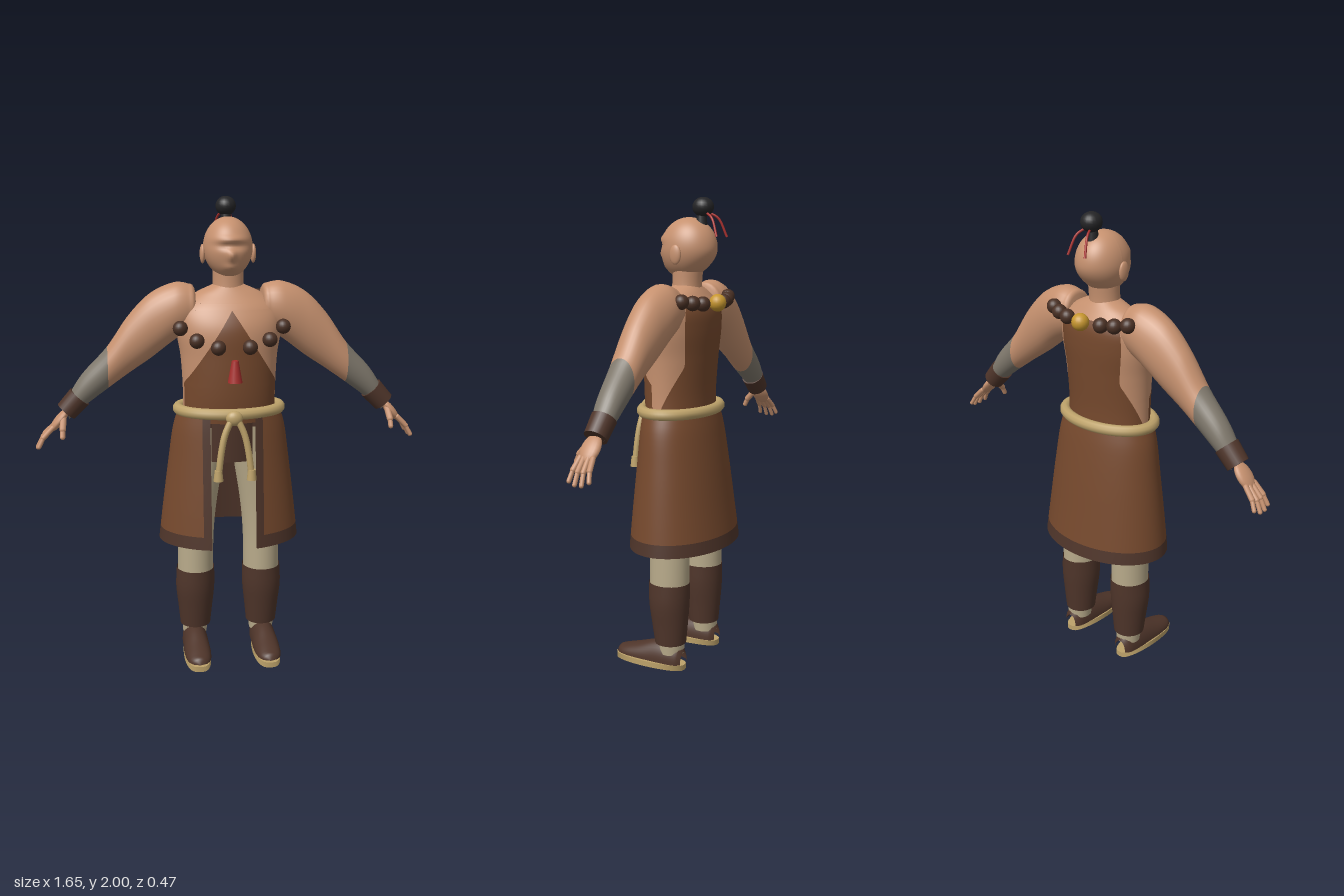
import * as THREE from 'three';
import { mergeVertices } from 'three/addons/utils/BufferGeometryUtils.js';

const mat = (name, color, side = THREE.FrontSide) => {
  const m = new THREE.MeshStandardMaterial({ color, side });
  m.name = name;
  return m;
};
const V = (x, y, z) => new THREE.Vector3(x, y, z);
const TAU = Math.PI * 2;

// Smooth interpolation of rows [key, a, b, ...] at a given key
function sample(rows, k) {
  let i = 0;
  while (i < rows.length - 2 && k > rows[i + 1][0]) i++;
  const p = rows[i], q = rows[i + 1], o = rows[i - 1] || p, r = rows[i + 2] || q;
  const d = q[0] - p[0], t = (k - p[0]) / d, t2 = t * t, t3 = t2 * t;
  return p.map((_, c) => {
    const m0 = (q[c] - o[c]) / (q[0] - o[0]) * d, m1 = (r[c] - p[c]) / (r[0] - p[0]) * d;
    return (2 * t3 - 3 * t2 + 1) * p[c] + (t3 - 2 * t2 + t) * m0 + (3 * t2 - 2 * t3) * q[c] + (t3 - t2) * m1;
  });
}

// Grid surface from f(u, v) with u, v in 0..1
function patch(f, nu, nv) {
  const pos = [], idx = [];
  for (let j = 0; j <= nv; j++) for (let i = 0; i <= nu; i++) pos.push(...f(i / nu, j / nv));
  for (let j = 0; j < nv; j++) for (let i = 0; i < nu; i++) {
    const a = j * (nu + 1) + i, d = a + nu + 1;
    idx.push(a, a + 1, d + 1, a, d + 1, d);
  }
  let g = new THREE.BufferGeometry();
  g.setAttribute('position', new THREE.Float32BufferAttribute(pos, 3));
  g.setIndex(idx);
  g = mergeVertices(g, 1e-5);
  g.computeVertexNormals();
  return g;
}

// Upright body surface: rows [y, rx, cz, rz, cx], angles from the front, given per height
function wrap(rows, y0, y1, from, to, nu = 40, nv = 16, grow = 1) {
  return patch((u, v) => {
    const y = y0 + (y1 - y0) * v, [, rx, cz, rz, cx = 0] = sample(rows, y);
    const a = from(y) + (to(y) - from(y)) * u;
    return [cx + rx * grow * Math.sin(a), y, cz + rz * grow * Math.cos(a)];
  }, nu, nv);
}
const zero = () => 0, full = () => TAU;

// Sideways limb: rows [x, cy, ry, cz, rz]
const limb = (rows, x0, x1, nv) => patch((u, v) => {
  const x = x0 + (x1 - x0) * v, [, cy, ry, cz, rz] = sample(rows, x), a = u * TAU;
  return [x, cy + ry * Math.cos(a), cz + rz * Math.sin(a)];
}, 28, nv);

const ball = (x, y, z, r, sx = 1, sy = 1, sz = 1) =>
  new THREE.SphereGeometry(r, 20, 14).scale(sx, sy, sz).translate(x, y, z);
const tube = (pts, r, closed = false, n = 20) =>
  new THREE.TubeGeometry(new THREE.CatmullRomCurve3(pts, closed), n, r, 10, closed);

// Aligns a geometry made along y with the line from a to b
function between(g, a, b) {
  const d = b.clone().sub(a);
  g.applyQuaternion(new THREE.Quaternion().setFromUnitVectors(V(0, 1, 0), d.normalize()));
  const c = a.clone().add(b).multiplyScalar(0.5);
  return g.translate(c.x, c.y, c.z);
}
const bone = (a, b, r) => between(new THREE.CapsuleGeometry(r, a.distanceTo(b), 5, 10), a, b);

function mirrored(g) {
  const m = g.clone().scale(-1, 1, 1), ix = m.index;
  for (let i = 0; i < ix.count; i += 3) {
    const t = ix.getX(i);
    ix.setX(i, ix.getX(i + 1));
    ix.setX(i + 1, t);
  }
  return m;
}

export function createModel() {
  const root = new THREE.Group();
  root.name = 'monk';
  const skin = mat('skin', 0xc6916f), robe = mat('robe brown', 0x76492d, THREE.DoubleSide);
  const dark = mat('dark brown', 0x4f352a, THREE.DoubleSide), cream = mat('cream cloth', 0xb9ab8b);
  const rope = mat('rope tan', 0xbda26a), grey = mat('grey wrap', 0x7f786c), red = mat('red', 0xa82f2d);
  const black = mat('black hair', 0x242426), gold = mat('gold', 0xc6962f), wood = mat('bead wood', 0x493024);
  const add = (name, g, m) => {
    const mesh = new THREE.Mesh(g, m);
    mesh.name = name;
    root.add(mesh);
  };
  const pair = (name, g, m) => {
    add('left ' + name, g, m);
    add('right ' + name, mirrored(g), m);
  };

  // Head: a sphere shaped into jaw, brow, eye hollow, nose and mouth
  const head = new THREE.SphereGeometry(1, 64, 48), hp = head.attributes.position;
  const bump = (x, y, cx, cy, sx, sy) => Math.exp(-(((x - cx) / sx) ** 2) - ((y - cy) / sy) ** 2);
  for (let i = 0; i < hp.count; i++) {
    const x = hp.getX(i), y = hp.getY(i), z = hp.getZ(i), low = Math.min(y, 0) ** 2;
    let nz = z * 0.122 * (z < 0 ? 1 - 0.45 * low : 1);
    if (z > 0) {
      nz += 0.011 * bump(x, y, 0, 0.3, 0.6, 0.12) - 0.014 * bump(x, y, 0, 0.1, 0.6, 0.13);
      nz += 0.018 * bump(x, y, 0, -0.2, 0.16, 0.2) + 0.008 * bump(x, y, 0, -0.6, 0.3, 0.12);
      nz += 0.02 * low;
    }
    hp.setXYZ(i, x * 0.103 * (1 - 0.12 * low), y * 0.125, nz);
  }
  head.translate(0, 1.795, -0.04);
  head.computeVertexNormals();
  add('head', head, skin);
  pair('ear', ball(0.106, 1.77, -0.035, 0.04, 0.3, 1, 0.65), skin);
  add('neck', wrap([[1.54, 0.085, -0.03, 0.075], [1.63, 0.066, -0.03, 0.062], [1.73, 0.066, -0.035, 0.065]],
    1.54, 1.73, zero, full, 28, 8), skin);

  // Topknot and ribbons
  add('topknot', ball(0, 1.96, -0.105, 0.043, 1, 0.93, 1.05), black);
  add('topknot stem', new THREE.CylinderGeometry(0.018, 0.025, 0.06, 14).translate(0, 1.915, -0.098), black);
  pair('ribbon', tube([V(0.01, 1.94, -0.12), V(0.028, 1.915, -0.16), V(0.045, 1.84, -0.192)], 0.005), red);

  // Torso: robe front and back panels with bare sides between them
  const torso = [[1.08, 0.198, -0.005, 0.13], [1.2, 0.197, 0, 0.135], [1.35, 0.205, -0.005, 0.14],
    [1.47, 0.222, -0.012, 0.14], [1.55, 0.21, -0.025, 0.12], [1.61, 0.14, -0.03, 0.08], [1.645, 0.065, -0.03, 0.055]];
  const front = y => Math.asin(Math.min(0.98, Math.max(0, (1.55 - y) * 0.64 / sample(torso, y)[1])));
  const back = y => 1.6 + 0.75 * Math.min(1, Math.max(0, (y - 1.12) / 0.2));
  add('robe front', wrap(torso, 1.08, 1.55, y => -front(y), front, 40, 32), robe);
  add('robe back', wrap(torso, 1.08, 1.575, back, y => TAU - back(y), 32, 32), robe);
  pair('bare side', wrap(torso, 1.08, 1.55, front, back, 28, 32), skin);
  add('upper chest', wrap(torso, 1.55, 1.575, y => -back(y), back, 40, 4), skin);
  add('shoulder line', wrap(torso, 1.575, 1.645, zero, full, 48, 10), skin);

  // Arms, wraps and cuffs
  const arm = [[0.135, 1.55, 0, -0.03, 0], [0.14, 1.55, 0.075, -0.03, 0.065], [0.17, 1.55, 0.1, -0.03, 0.082],
    [0.23, 1.535, 0.12, -0.03, 0.09], [0.33, 1.475, 0.135, -0.03, 0.08], [0.42, 1.4, 0.12, -0.03, 0.069],
    [0.51, 1.305, 0.088, -0.03, 0.062], [0.62, 1.205, 0.07, -0.035, 0.051], [0.68, 1.135, 0.05, -0.035, 0.036]];
  pair('arm', limb(arm, 0.135, 0.51, 50), skin);
  pair('forearm wrap', limb(arm, 0.51, 0.68, 14), grey);
  pair('cuff', between(new THREE.CylinderGeometry(0.047, 0.051, 0.085, 24),
    V(0.631, 1.182, -0.034), V(0.689, 1.119, -0.034)), dark);

  // Hands
  pair('palm', between(new THREE.SphereGeometry(1, 18, 12).scale(0.02, 0.062, 0.042),
    V(0.68, 1.13, -0.033), V(0.76, 1.035, -0.033)).rotateX(0), skin);
  [[-0.062, -0.083], [-0.044, -0.056], [-0.024, -0.026], [-0.006, 0.004]].forEach(([z0, z1], i) => {
    const reach = [0.85, 1, 1, 0.9][i], knuckle = V(0.748, 1.055, z0);
    const mid = V(0.748 + 0.044 * reach, 1.055 - 0.045 * reach, (z0 + z1) / 2);
    pair('finger', bone(knuckle, mid, 0.011), skin);
    pair('fingertip', bone(mid, V(0.748 + 0.067 * reach, 1.055 - 0.088 * reach, z1), 0.009), skin);
  });
  pair('thumb base', bone(V(0.702, 1.095, -0.01), V(0.706, 1.055, 0.026), 0.014), skin);
  pair('thumb', bone(V(0.706, 1.055, 0.026), V(0.707, 1.025, 0.04), 0.011), skin);

  // Skirt: open at the front, with darker hem, edging and lining
  const skirt = [[0.54, 0.307, -0.023, 0.213], [0.7, 0.288, -0.019, 0.195], [0.9, 0.262, -0.015, 0.172],
    [1.05, 0.24, -0.01, 0.153], [1.13, 0.215, -0.005, 0.14]];
  const gap = y => Math.asin(0.097 / sample(skirt, y)[1]), edge = y => gap(y) + 0.035 / sample(skirt, y)[1];
  add('skirt', wrap(skirt, 0.595, 1.13, edge, y => TAU - edge(y), 72, 20), robe);
  add('skirt hem', wrap(skirt, 0.54, 0.595, gap, y => TAU - gap(y), 72, 2), dark);
  pair('skirt edging', wrap(skirt, 0.595, 1.13, gap, edge, 4, 20), dark);
  add('skirt lining', wrap(skirt, 0.54, 1.13, y => TAU - gap(y), gap, 72, 20, 0.98), dark);
  add('loincloth', wrap([[0.91, 0.15, 0, 0.115], [1.12, 0.15, 0, 0.125]], 0.91, 1.12, () => -0.62, () => 0.62, 16, 4), dark);

  // Rope belt, knot and hanging cords
  const loop = Array.from({ length: 24 }, (_, i) =>
    V(0.218 * Math.sin(i / 24 * TAU), 1.125, -0.003 + 0.143 * Math.cos(i / 24 * TAU)));
  add('belt', tube(loop, 0.024, true, 96), rope);
  add('belt knot', ball(0, 1.115, 0.168, 0.032, 1.1, 1, 0.75), rope);
  pair('cord', tube([V(0.008, 1.12, 0.17), V(0.04, 1.05, 0.178), V(0.056, 0.98, 0.184), V(0.07, 0.87, 0.19)], 0.014), rope);
  pair('cord end', new THREE.CylinderGeometry(0.016, 0.021, 0.045, 14).translate(0.07, 0.877, 0.19), rope);

  // Trousers and boots
  const leg = [[0.38, 0.079, -0.03, 0.086, 0.148], [0.55, 0.08, -0.03, 0.088, 0.146], [0.7, 0.086, -0.028, 0.092, 0.138],
    [0.9, 0.1, -0.02, 0.1, 0.12], [1.06, 0.105, -0.01, 0.11, 0.1]];
  const boot = [[0.1, 0.066, -0.036, 0.066, 0.15], [0.2, 0.076, -0.033, 0.078, 0.15], [0.3, 0.086, -0.03, 0.088, 0.15],
    [0.39, 0.084, -0.03, 0.09, 0.148]];
  pair('trouser leg', wrap(leg, 0.38, 1.06, zero, full, 32, 20), cream);
  pair('boot shaft', wrap(boot, 0.115, 0.39, zero, full, 32, 12), dark);
  pair('ankle cloth', new THREE.CylinderGeometry(0.058, 0.054, 0.06, 20).translate(0.152, 0.1, -0.042), cream);

  // Shoes: arched sections from heel to toe
  const shoe = [[-0.102, 0.03, 0.05], [-0.085, 0.046, 0.08], [-0.03, 0.055, 0.088], [0.04, 0.057, 0.08],
    [0.12, 0.058, 0.054], [0.19, 0.048, 0.032], [0.22, 0.026, 0.02], [0.228, 0, 0]];
  pair('shoe', patch((u, v) => {
    const z = -0.102 + 0.33 * v, [, w, h] = sample(shoe, z), a = u * Math.PI;
    return [0.155 + w * Math.cos(a), 0.03 + h * Math.sin(a), z];
  }, 20, 28), dark);
  const sole = new THREE.CylinderGeometry(1, 1, 0.024, 36), sp = sole.attributes.position;
  for (let i = 0; i < sp.count; i++) {
    const z = sp.getZ(i), x = sp.getX(i);
    sp.setXYZ(i, 0.155 + Math.sign(x) * Math.abs(x) ** 0.7 * (0.058 + 0.005 * z), sp.getY(i) + 0.018, 0.062 + z * 0.17);
  }
  sole.translate(0, -0.006, 0);
  pair('sole', sole, rope);

  // Bead necklace and tassel
  [[0.065, 1.41, 0.165], [0.15, 1.436, 0.14], [0.213, 1.482, 0.095],
    [0.09, 1.575, -0.155], [0.148, 1.58, -0.14], [0.2, 1.588, -0.118]]
    .forEach(([x, y, z]) => pair('bead', ball(x, y, z, 0.031), wood));
  add('gold bead', ball(0, 1.575, -0.175, 0.036), gold);
  add('tassel', new THREE.CylinderGeometry(0.014, 0.03, 0.09, 18).translate(0, 1.315, 0.185), red);
  return root;
}
